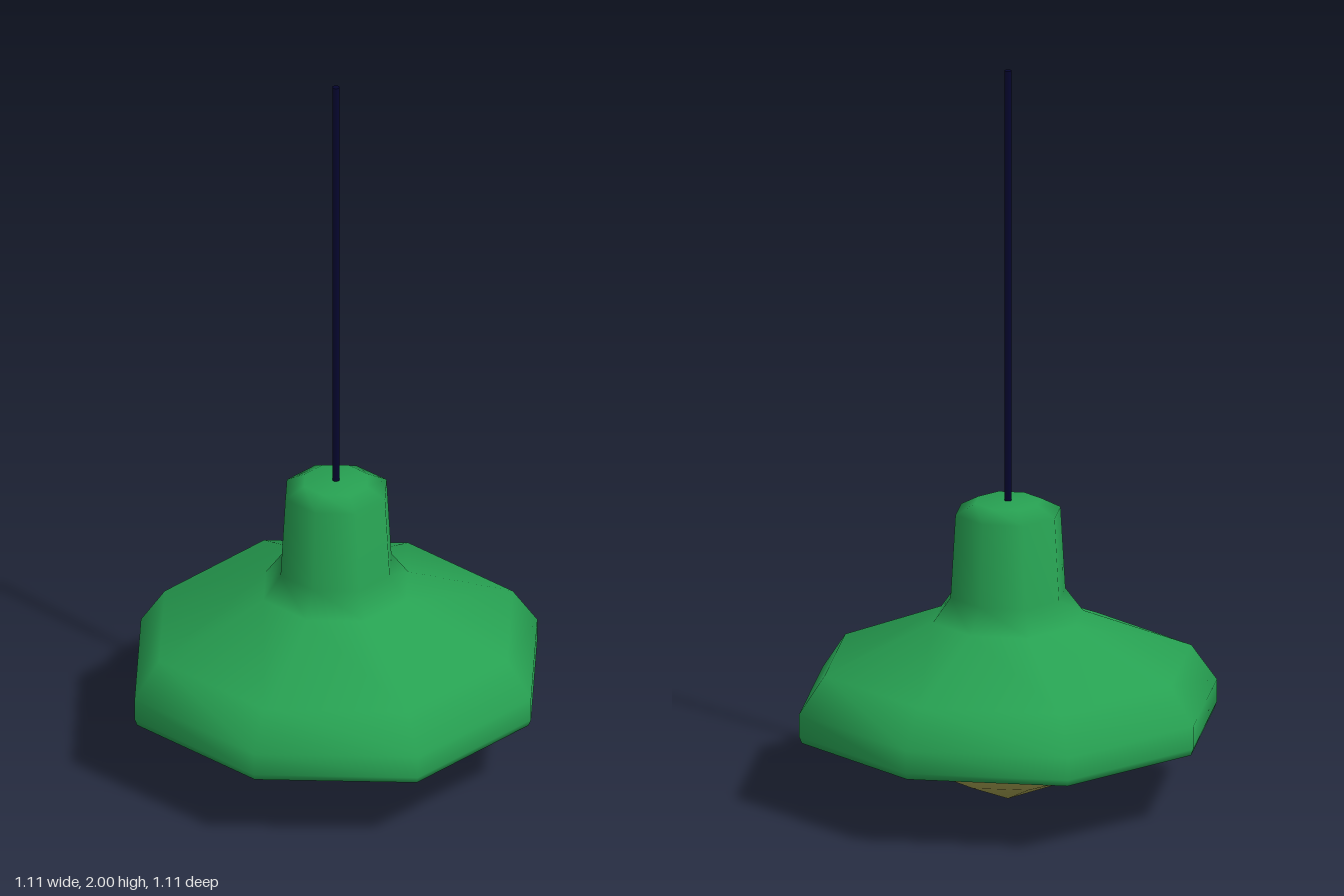
import * as THREE from 'three';

const SIDES = 8;

// Octagonal lathe whose diagonal corners reach slightly further out
function octagonLathe(profile) {
  const geometry = new THREE.LatheGeometry(profile.map(([r, y]) => new THREE.Vector2(r, y)), SIDES);
  const pos = geometry.attributes.position;
  for (let i = 0; i < pos.count; i++) {
    const isDiagonal = Math.floor(i / profile.length) % 2 === 1;
    if (isDiagonal) pos.setXYZ(i, pos.getX(i) * 1.027, pos.getY(i), pos.getZ(i) * 1.027);
  }
  return geometry;
}

export function createModel() {
  const green = new THREE.MeshStandardMaterial({ name: 'greenEnamel', color: 0x27a152 });
  const glass = new THREE.MeshStandardMaterial({ name: 'yellowGlass', color: 0xa39f50 });
  const navy = new THREE.MeshStandardMaterial({ name: 'navyCord', color: 0x05052e });

  const lamp = new THREE.Group();
  lamp.name = 'pendantLamp';
  const add = (name, geometry, material, y = 0) => {
    const mesh = new THREE.Mesh(geometry, material);
    mesh.name = name;
    mesh.position.y = y;
    lamp.add(mesh);
  };

  // Hollow shade: down the sloping inside, around the lip and up the outside
  add('shade', octagonLathe([
    [0, 0.6], [0.13, 0.56], [0.19, 0.45], [0.36, 0.325], [0.505, 0.2],
    [0.535, 0.196], [0.549, 0.2], [0.556, 0.218], [0.556, 0.28], [0.488, 0.38],
    [0.2, 0.5], [0.153, 0.565], [0.14, 0.79], [0.088, 0.818], [0, 0.82],
  ]), green);

  // Round bulb hanging below the lip
  add('bulb', new THREE.SphereGeometry(0.27, SIDES, 4), glass, 0.27);

  // Hanging cord
  add('cord', new THREE.CylinderGeometry(0.01, 0.01, 1.22, SIDES), navy, 1.39);

  return lamp;
}
